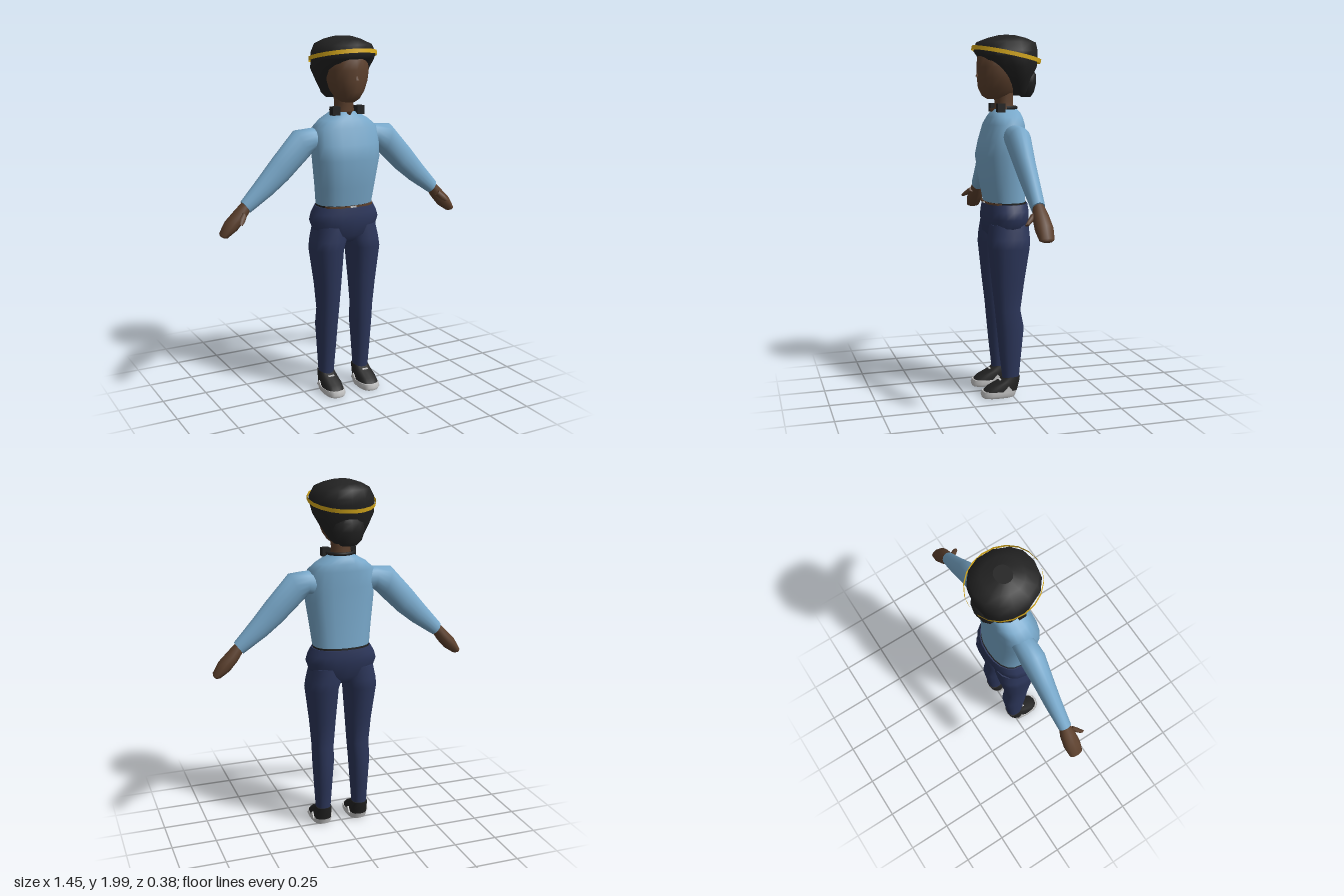
import * as THREE from 'three';

const V = (x, y, z) => new THREE.Vector3(x, y, z);
const mat = (name, color, side = THREE.FrontSide) => {
  const m = new THREE.MeshStandardMaterial({ color, side });
  m.name = name;
  return m;
};

// Horizontal ring from its extents
const ring = (y, x0, x1, z0, z1) => ({
  c: V((x0 + x1) / 2, y, (z0 + z1) / 2), u: V(0, 0, (z1 - z0) / 2), v: V((x1 - x0) / 2, 0, 0),
});
const sym = (y, w, z0, z1) => ring(y, -w, w, z0, z1);
// Limb ring between an upper and a lower point, with a depth range in z
const limb = (s, tx, ty, bx, by, z0, z1) => ({
  c: V(s * (tx + bx) / 2, (ty + by) / 2, (z0 + z1) / 2),
  u: V(s * (tx - bx) / 2, (ty - by) / 2, 0), v: V(0, 0, (z1 - z0) / 2),
});

// Smooth skin through rings, with flat end caps; power < 1 makes rings boxier
function loft(rings, n = 16, power = 1) {
  const pos = [], idx = [];
  const d = rings[rings.length - 1].c.clone().sub(rings[0].c);
  const flip = rings[0].u.clone().cross(rings[0].v).dot(d) < 0 ? -1 : 1;
  const bend = (k) => Math.sign(k) * Math.abs(k) ** power;
  const addRing = (r) => {
    for (let i = 0; i < n; i++) {
      const t = (i / n) * Math.PI * 2;
      const p = r.c.clone().addScaledVector(r.u, bend(Math.cos(t))).addScaledVector(r.v, flip * bend(Math.sin(t)));
      pos.push(p.x, p.y, p.z);
    }
  };
  rings.forEach(addRing);
  for (let k = 0; k < rings.length - 1; k++) {
    for (let i = 0; i < n; i++) {
      const a = k * n + i, b = k * n + (i + 1) % n;
      idx.push(a, b, b + n, a, b + n, a + n);
    }
  }
  [rings[0], rings[rings.length - 1]].forEach((r, end) => {
    const base = pos.length / 3;
    addRing(r);
    pos.push(r.c.x, r.c.y, r.c.z);
    for (let i = 0; i < n; i++) {
      const a = base + i, b = base + (i + 1) % n;
      if (end) idx.push(a, b, base + n);
      else idx.push(b, a, base + n);
    }
  });
  const g = new THREE.BufferGeometry();
  g.setAttribute('position', new THREE.Float32BufferAttribute(pos, 3));
  g.setIndex(idx);
  g.computeVertexNormals();
  return g;
}

export function createModel() {
  const model = new THREE.Group();
  const skin = mat('skin', 0x5c402d), shirt = mat('shirt blue', 0x78a8ca);
  const navy = mat('trouser navy', 0x2c365a), black = mat('hair black', 0x222222);
  const gold = mat('band gold', 0xd8aa1c, THREE.DoubleSide), pale = mat('sole grey', 0xc8c8c8);
  const add = (name, geo, material, parent = model) => {
    const m = new THREE.Mesh(geo, material);
    m.name = name;
    parent.add(m);
    return m;
  };

  // Torso
  add('shirtBody', loft([
    sym(1.095, 0.16, -0.1, 0.12), sym(1.2, 0.172, -0.095, 0.14), sym(1.35, 0.192, -0.09, 0.163),
    sym(1.43, 0.195, -0.09, 0.145), sym(1.52, 0.185, -0.09, 0.117), sym(1.56, 0.14, -0.085, 0.1),
    sym(1.585, 0.095, -0.075, 0.085), sym(1.602, 0.065, -0.06, 0.065),
  ], 20, 0.85), shirt);

  // Waist: dark belt, bare strip and clasp at the front
  add('belt', loft([sym(1.08, 0.161, -0.105, 0.121), sym(1.098, 0.161, -0.103, 0.121)], 20, 0.85), black);
  add('waistStrip', loft([sym(1.087, 0.145, 0, 0.126), sym(1.097, 0.145, 0, 0.126)], 20, 0.85), skin);
  add('clasp', new THREE.BoxGeometry(0.035, 0.009, 0.008), pale).position.set(0, 1.092, 0.125);

  // Hips
  add('hips', loft([
    sym(0.885, 0.08, -0.06, 0.08), sym(0.93, 0.175, -0.1, 0.125), sym(1.01, 0.202, -0.115, 0.135),
    sym(1.05, 0.19, -0.117, 0.133), sym(1.088, 0.168, -0.112, 0.128),
  ], 20, 0.9), navy);

  for (const s of [1, -1]) {
    const side = s > 0 ? 'left' : 'right';
    const across = (y, a, b, z0, z1) => ring(y, Math.min(s * a, s * b), Math.max(s * a, s * b), z0, z1);

    // Leg
    add(side + 'Leg', loft([
      across(0.1, 0.07, 0.152, -0.04, 0.05), across(0.25, 0.06, 0.16, -0.055, 0.068),
      across(0.4, 0.05, 0.168, -0.07, 0.083), across(0.5, 0.045, 0.168, -0.05, 0.092),
      across(0.65, 0.035, 0.18, -0.07, 0.11), across(0.85, 0.02, 0.205, -0.1, 0.13),
      across(0.9, 0.002, 0.198, -0.105, 0.13), across(0.98, 0, 0.18, -0.1, 0.12),
    ], 16, 0.9), navy);

    // Shoe
    const shoe = new THREE.Group();
    shoe.name = side + 'Shoe';
    model.add(shoe);
    add('sole', loft([
      across(0.01, 0.055, 0.163, -0.015, 0.17), across(0.025, 0.048, 0.172, -0.02, 0.176),
      across(0.047, 0.05, 0.17, -0.028, 0.168),
    ], 16, 0.75), pale, shoe);
    add('upper', loft([
      across(0.045, 0.053, 0.168, -0.03, 0.163), across(0.07, 0.056, 0.165, -0.036, 0.135),
      across(0.095, 0.06, 0.16, -0.042, 0.08), across(0.122, 0.066, 0.156, -0.046, 0.04),
    ], 16, 0.75), black, shoe);
    add('lace', new THREE.BoxGeometry(0.035, 0.005, 0.012), pale, shoe).position.set(s * 0.11, 0.104, 0.067);
    const flash = new THREE.Shape([[0, 0], [0.06, 0], [0.025, 0.032]].map(([x, y]) => new THREE.Vector2(x, y)));
    for (const x of [0.054, 0.167]) {
      const f = add('sideFlash', new THREE.ExtrudeGeometry(flash, { depth: 0.008, bevelEnabled: false }), pale, shoe);
      f.rotation.y = -Math.PI / 2;
      f.position.set(s * x + 0.004, 0.044, 0.005);
    }

    // Sleeve
    add(side + 'Sleeve', loft([
      limb(s, 0.13, 1.52, 0.15, 1.38, -0.05, 0.06), limb(s, 0.2, 1.522, 0.19, 1.395, -0.056, 0.068),
      limb(s, 0.292, 1.515, 0.235, 1.35, -0.06, 0.072), limb(s, 0.42, 1.375, 0.34, 1.25, -0.046, 0.058),
      limb(s, 0.5, 1.28, 0.43, 1.18, -0.04, 0.05), limb(s, 0.605, 1.16, 0.558, 1.097, -0.03, 0.042),
    ]), shirt);

    // Hand and thumb
    add(side + 'Hand', loft([
      limb(s, 0.595, 1.16, 0.558, 1.107, -0.025, 0.035), limb(s, 0.64, 1.115, 0.59, 1.06, -0.038, 0.046),
      limb(s, 0.695, 1.06, 0.635, 1.01, -0.044, 0.05), limb(s, 0.727, 1.0, 0.69, 0.975, -0.036, 0.042),
      limb(s, 0.724, 0.985, 0.708, 0.974, -0.02, 0.025),
    ], 10), skin);
    add(side + 'Thumb', loft([
      limb(s, 0.61, 1.11, 0.59, 1.08, 0.02, 0.055), limb(s, 0.635, 1.085, 0.61, 1.06, 0.045, 0.078),
      limb(s, 0.648, 1.06, 0.632, 1.048, 0.07, 0.095),
    ], 6), skin);

    // Collar end block
    add(side + 'CollarBlock', new THREE.BoxGeometry(0.045, 0.046, 0.042), black).position.set(s * 0.074, 1.61, 0.05);
  }

  // Collar around the back of the neck
  const collar = add('collar', new THREE.TorusGeometry(0.073, 0.01, 8, 20, Math.PI), black);
  collar.rotation.x = -Math.PI / 2;
  collar.position.set(0, 1.61, 0.018);

  // Neck, neckline notch and face
  add('neck', loft([
    sym(1.58, 0.062, -0.045, 0.062), sym(1.64, 0.052, -0.04, 0.062), sym(1.72, 0.06, -0.04, 0.07),
  ]), skin);
  const notch = add('neckline', new THREE.ConeGeometry(0.018, 0.04, 4), skin);
  notch.rotation.x = Math.PI;
  notch.position.set(0, 1.587, 0.075);
  add('face', loft([
    sym(1.657, 0.035, 0, 0.105), sym(1.675, 0.06, -0.03, 0.135), sym(1.715, 0.088, -0.06, 0.155),
    sym(1.77, 0.11, -0.07, 0.16), sym(1.83, 0.118, -0.07, 0.162), sym(1.885, 0.108, -0.07, 0.157),
    sym(1.92, 0.08, -0.05, 0.13),
  ], 18), skin);
  const nose = add('nose', new THREE.ConeGeometry(0.014, 0.03, 6), skin);
  nose.position.set(0, 1.792, 0.158);

  // Hair cap, cut away at the front and lower edge
  add('hair', loft([
    sym(1.675, 0.065, -0.1, -0.045), sym(1.7, 0.092, -0.115, -0.02), sym(1.77, 0.135, -0.135, 0.04),
    sym(1.83, 0.166, -0.165, 0.1), sym(1.885, 0.173, -0.172, 0.155), sym(1.915, 0.172, -0.173, 0.176),
    sym(1.96, 0.148, -0.165, 0.165), sym(1.985, 0.1, -0.11, 0.1), sym(2.0, 0.05, -0.05, 0.04),
  ], 14, 0.92), black);

  // Bun low at the back
  add('bun', loft([
    sym(1.668, 0.045, -0.14, -0.09), sym(1.695, 0.075, -0.158, -0.06), sym(1.745, 0.09, -0.17, -0.05),
    sym(1.79, 0.08, -0.17, -0.05), sym(1.82, 0.05, -0.15, -0.06),
  ], 10), black);

  // Tilted gold headband
  const band = add('headband', new THREE.CylinderGeometry(0.183, 0.183, 0.022, 20, 1, true), gold);
  band.scale.z = 1.06;
  band.rotation.x = -0.2;
  band.position.set(0, 1.895, -0.003);
  return model;
}
